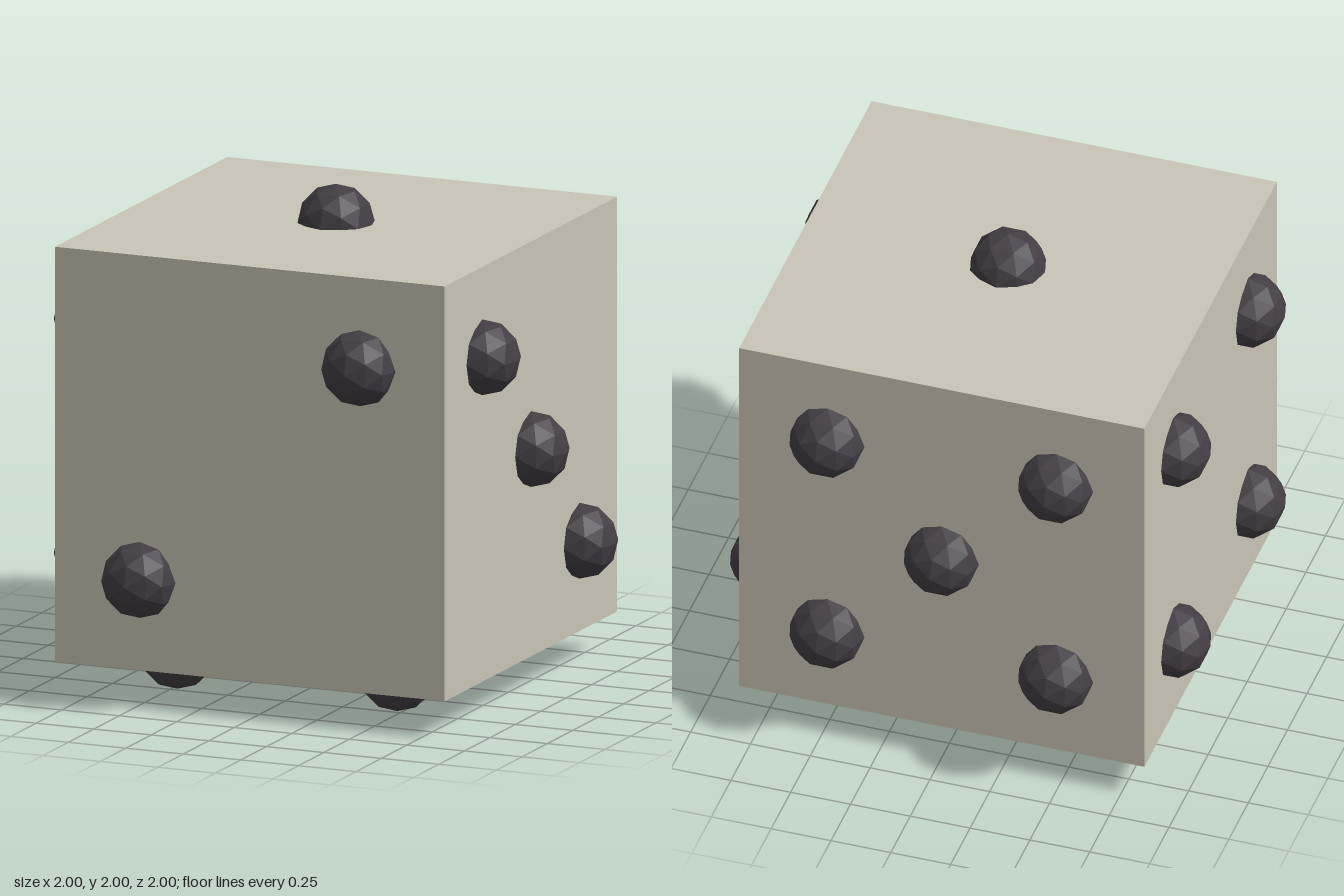
import * as THREE from 'three';

const HALF = 0.847;   // half the cube's side
const RADIUS = 0.155; // pip radius
const STEP = 0.478;   // pip offset from a face's centre

export function createModel() {
  const bone = new THREE.MeshStandardMaterial({ color: 0xc9c4b6 });
  bone.name = 'bone';
  const charcoal = new THREE.MeshStandardMaterial({ color: 0x443e44 });
  charcoal.name = 'charcoal';
  charcoal.flatShading = true;

  const model = new THREE.Group();
  model.name = 'die';

  // Cube body
  const body = new THREE.Mesh(new THREE.BoxGeometry(2 * HALF, 2 * HALF, 2 * HALF), bone);
  body.name = 'body';
  body.position.y = 1;
  model.add(body);

  // Pips, half sunk into each face; patterns are in face coordinates
  const corners = [[-1, -1], [-1, 1], [1, -1], [1, 1]];
  const faces = [
    { name: 'topPips', pips: [[0, 0]], place: (a, b) => [a, HALF, b] },
    { name: 'frontPips', pips: [[-1, -1], [1, 1]], place: (a, b) => [a, b, HALF] },
    { name: 'leftPips', pips: [[1, 1], [0, 0], [-1, -1]], place: (a, b) => [HALF, b, a] },
    { name: 'rightPips', pips: corners, place: (a, b) => [-HALF, b, a] },
    { name: 'backPips', pips: [...corners, [0, 0]], place: (a, b) => [a, b, -HALF] },
    { name: 'bottomPips', pips: [...corners, [-1, 0], [1, 0]], place: (a, b) => [a, -HALF, b] },
  ];
  const pipGeometry = new THREE.IcosahedronGeometry(RADIUS, 1);
  for (const { name, pips, place } of faces) {
    const group = new THREE.Group();
    group.name = name;
    group.position.y = 1;
    for (const [a, b] of pips) {
      const pip = new THREE.Mesh(pipGeometry, charcoal);
      pip.name = 'pip';
      pip.position.set(...place(a * STEP, b * STEP));
      group.add(pip);
    }
    model.add(group);
  }
  return model;
}
